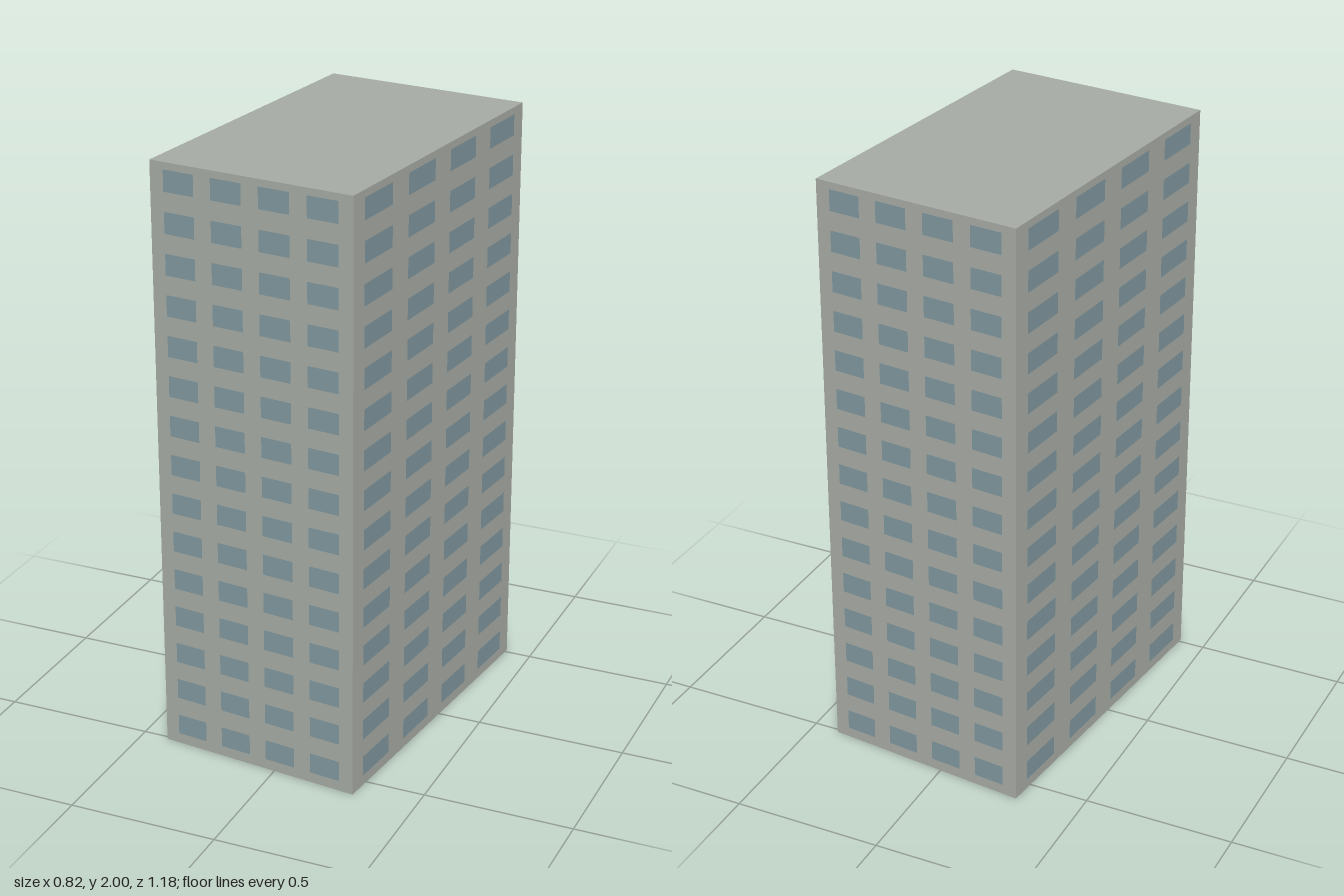
import * as THREE from 'three';

const WIDTH = 0.704, DEPTH = 1.108, HEIGHT = 2;
const FLOORS = 15, COLUMNS = 4, FLOOR_PITCH = 0.1336, FIRST_FLOOR = 0.0715;

export function createModel() {
  const concrete = new THREE.MeshStandardMaterial({ color: 0xa5a9a3, side: THREE.DoubleSide });
  concrete.name = 'concrete';
  const glass = new THREE.MeshStandardMaterial({ color: 0x7e969c });
  glass.name = 'glass';

  const model = new THREE.Group();
  model.name = 'towerBlock';

  // One facade: a plain wall with a grid of flat windows, facing +z before turning
  function addFacade(name, width, distance, angle, windowWidth, windowPitch) {
    const facade = new THREE.Group();
    facade.name = name;
    facade.rotation.y = angle;

    const wall = new THREE.Mesh(new THREE.PlaneGeometry(width, HEIGHT), concrete);
    wall.name = 'wall';
    wall.position.set(0, HEIGHT / 2, distance);
    facade.add(wall);

    const pane = new THREE.PlaneGeometry(windowWidth, 0.07);
    for (let floor = 0; floor < FLOORS; floor++) {
      for (let column = 0; column < COLUMNS; column++) {
        const win = new THREE.Mesh(pane, glass);
        win.name = 'window';
        win.position.set(
          (column - (COLUMNS - 1) / 2) * windowPitch,
          FIRST_FLOOR + floor * FLOOR_PITCH,
          distance + 0.002
        );
        facade.add(win);
      }
    }
    model.add(facade);
  }

  // Narrow ends and long sides
  addFacade('frontFacade', WIDTH, DEPTH / 2, 0, 0.107, 0.1667);
  addFacade('backFacade', WIDTH, DEPTH / 2, Math.PI, 0.107, 0.1667);
  addFacade('leftFacade', DEPTH, WIDTH / 2, Math.PI / 2, 0.17, 0.27);
  addFacade('rightFacade', DEPTH, WIDTH / 2, -Math.PI / 2, 0.17, 0.27);

  // Flat roof; the underside of the block stays open
  const roof = new THREE.Mesh(new THREE.PlaneGeometry(WIDTH, DEPTH), concrete);
  roof.name = 'roof';
  roof.rotation.x = -Math.PI / 2;
  roof.position.y = HEIGHT;
  model.add(roof);

  // The block stands slightly turned on its plot
  model.rotation.y = -0.109;
  const root = new THREE.Group();
  root.name = 'building';
  root.add(model);
  return root;
}
